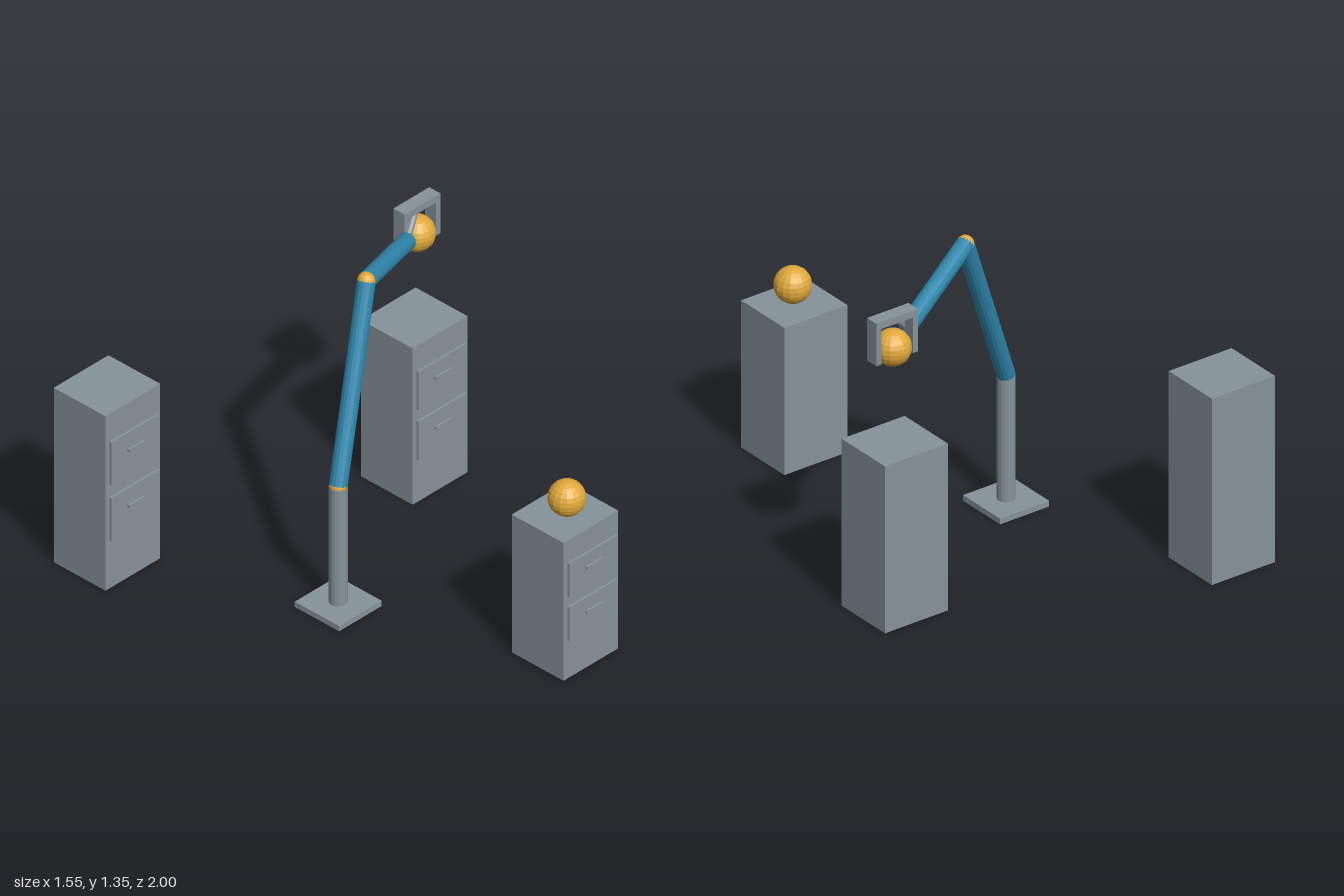
import * as THREE from 'three';

const material = (name, color) => {
  const m = new THREE.MeshStandardMaterial({ color, flatShading: true });
  m.name = name;
  return m;
};

export function createModel() {
  const steel = material('steel grey', 0x86939a);
  const blue = material('arm blue', 0x2e86ab);
  const amber = material('amber', 0xe0a93b);

  const model = new THREE.Group();
  model.name = 'robotArmWithCabinets';

  const add = (parent, name, geometry, mat, x = 0, y = 0, z = 0) => {
    const mesh = new THREE.Mesh(geometry, mat);
    mesh.name = name;
    mesh.position.set(x, y, z);
    parent.add(mesh);
    return mesh;
  };
  const box = (w, h, d) => new THREE.BoxGeometry(w, h, d);
  const ball = (parent, name, r, p) =>
    add(parent, name, new THREE.SphereGeometry(r, 16, 12), amber, p.x, p.y, p.z);

  // Cylinder running between two points
  const rod = (parent, name, a, b, r, mat) => {
    const dir = b.clone().sub(a);
    const mesh = add(parent, name, new THREE.CylinderGeometry(r, r, dir.length(), 16), mat);
    mesh.position.copy(a).lerp(b, 0.5);
    mesh.quaternion.setFromUnitVectors(new THREE.Vector3(0, 1, 0), dir.normalize());
  };

  // Filing cabinets: body, two drawer fronts standing just off it, handles
  const addCabinet = (name, x, z, h) => {
    const cabinet = new THREE.Group();
    cabinet.name = name;
    cabinet.position.set(x, 0, z);
    add(cabinet, 'body', box(0.305, h, 0.278), steel, 0, h / 2, 0);
    for (const level of [0.405, 0.724]) {
      add(cabinet, 'drawer', box(0.27, h * 0.247, 0.01), steel, 0, h * level, 0.149);
      add(cabinet, 'handle', box(0.09, 0.013, 0.012), steel, 0, h * (level + 0.024), 0.157);
    }
    model.add(cabinet);
  };
  addCabinet('backCabinet', -0.623, -0.861, 0.823);
  addCabinet('frontCabinet', 0.167, 0.837, 0.65);
  addCabinet('sideCabinet', 0.619, -0.408, 0.737);

  // Arm on its pedestal
  const arm = new THREE.Group();
  arm.name = 'arm';
  model.add(arm);
  const shoulder = new THREE.Vector3(-0.228, 0.57, 0);
  const elbow = new THREE.Vector3(0.08, 1.312, -0.145);
  const wrist = new THREE.Vector3(0.517, 1.178, -0.349);
  const palm = new THREE.Vector3(0.62, 1.28, -0.394);
  const r = 0.037;
  add(arm, 'basePlate', box(0.238, 0.025, 0.238), steel, shoulder.x, 0.0125, 0);
  rod(arm, 'pedestal', new THREE.Vector3(shoulder.x, 0.02, 0), shoulder, r, steel);
  ball(arm, 'shoulderJoint', r, shoulder);
  rod(arm, 'upperArm', shoulder, elbow, r, blue);
  ball(arm, 'elbowJoint', r, elbow);
  rod(arm, 'forearm', elbow, wrist, r, blue);
  rod(arm, 'wristRod', wrist, palm, 0.014, steel);

  // Gripper: palm bar with two hanging fingers
  const gripper = new THREE.Group();
  gripper.name = 'gripper';
  gripper.position.copy(palm);
  arm.add(gripper);
  add(gripper, 'palm', box(0.2, 0.031, 0.06), steel);
  for (const side of [-1, 1]) {
    add(gripper, 'finger', box(0.024, 0.16, 0.06), steel, side * 0.088, -0.092, 0);
  }

  // Balls: one held, one resting on the front cabinet
  ball(model, 'heldBall', 0.076, new THREE.Vector3(0.619, 1.147, -0.394));
  ball(model, 'restingBall', 0.076, new THREE.Vector3(0.167, 0.726, 0.847));

  return model;
}
